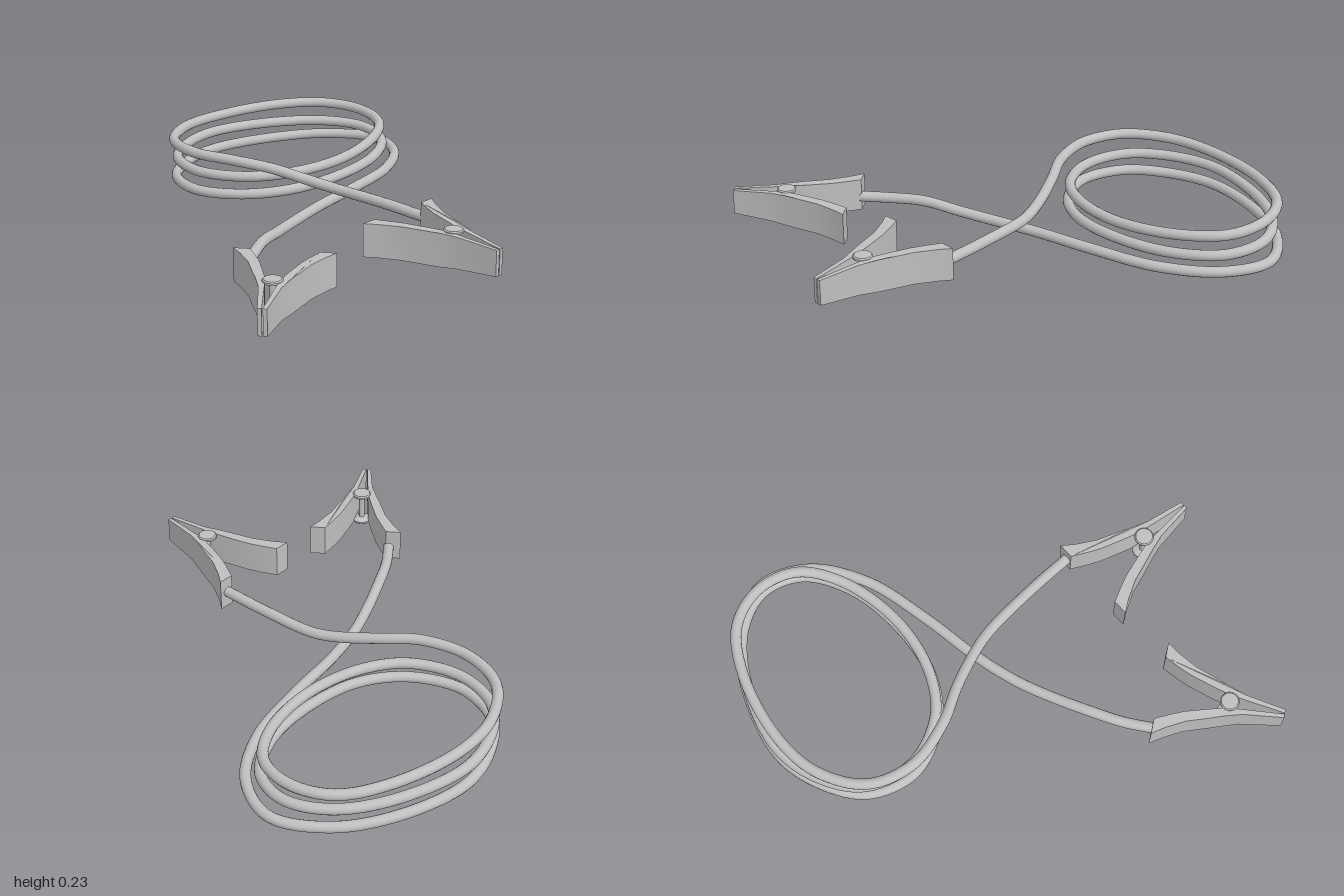
import * as THREE from 'three';
import { toCreasedNormals } from 'three/addons/utils/BufferGeometryUtils.js';

const grey = new THREE.MeshStandardMaterial({ color: 0xbfbfbf });
grey.name = 'light grey';

function part(name, geometry) {
  const mesh = new THREE.Mesh(geometry, grey);
  mesh.name = name;
  return mesh;
}

// One lever of a clip: plan outline extruded upright, getting lower toward the jaw.
// The clip's tip is at z = 0 and the handles end at z = -0.52.
function leverGeometry(side) {
  const outer = [[0.2, -0.52], [0.165, -0.47], [0.12, -0.39], [0.085, -0.29], [0.066, -0.24], [0.043, -0.17], [0.018, 0]];
  const inner = [[0.002, 0], [0.004, -0.02], [0.022, -0.18], [0.03, -0.24], [0.05, -0.31], [0.08, -0.405], [0.105, -0.46], [0.135, -0.52]];
  const shape = new THREE.Shape(
    [...outer, ...inner].map(([u, z]) => new THREE.Vector2(u * side, -z)));
  const geo = new THREE.ExtrudeGeometry(shape, { depth: 2, bevelEnabled: false });
  geo.translate(0, 0, -1);
  geo.rotateX(-Math.PI / 2);
  const p = geo.attributes.position;
  for (let i = 0; i < p.count; i++) {
    const t = THREE.MathUtils.clamp((p.getZ(i) + 0.24) / 0.24, 0, 1);
    p.setY(i, p.getY(i) * (0.07 - 0.016 * t));
  }
  return toCreasedNormals(geo, 0.6);
}

// Spool-shaped hinge between the levers
function hingeGeometry() {
  const profile = [[0, -0.077], [0.035, -0.075], [0.04, -0.07], [0.04, -0.062], [0.012, -0.05],
    [0.012, 0.05], [0.04, 0.062], [0.04, 0.07], [0.035, 0.075], [0, 0.077]];
  const geo = new THREE.LatheGeometry(profile.map(([r, y]) => new THREE.Vector2(r, y)), 24);
  return toCreasedNormals(geo, 0.6);
}

function makeClip(name, x, y, z, turn) {
  const clip = new THREE.Group();
  clip.name = name;
  clip.add(part('leftLever', leverGeometry(1)), part('rightLever', leverGeometry(-1)));
  const hinge = part('hinge', hingeGeometry());
  hinge.position.z = -0.23;
  clip.add(hinge);
  clip.position.set(x, y, z);
  clip.rotation.y = turn;
  return clip;
}

// Cable coiled two and a half turns, falling from the front clip to the side clip
function cableGeometry() {
  const path = [
    [0.146, 0.13, 0.49], [0.136, 0.135, 0.24], [0.11, 0.14, 0], [0.065, 0.16, -0.13], [0, 0.19, -0.265], [-0.085, 0.212, -0.41],
    // upper turn
    [-0.137, 0.213, -0.61], [-0.08, 0.21, -0.8], [0.09, 0.205, -0.92], [0.3, 0.2, -0.95],
    [0.6, 0.2, -0.89], [0.8, 0.195, -0.77], [0.87, 0.188, -0.6], [0.83, 0.175, -0.43],
    [0.67, 0.16, -0.31], [0.4, 0.14, -0.25], [0.15, 0.13, -0.29], [-0.02, 0.125, -0.4],
    // middle turn
    [-0.108, 0.12, -0.6], [-0.06, 0.12, -0.8], [0.09, 0.12, -0.92], [0.3, 0.12, -0.97],
    [0.6, 0.115, -0.89], [0.8, 0.11, -0.75], [0.88, 0.104, -0.58], [0.83, 0.092, -0.41],
    [0.65, 0.08, -0.29], [0.4, 0.068, -0.247], [0.15, 0.058, -0.28], [-0.03, 0.048, -0.4],
    // lower half turn
    [-0.125, 0.04, -0.6], [-0.07, 0.037, -0.8], [0.09, 0.036, -0.92], [0.3, 0.036, -0.973],
    [0.6, 0.037, -0.9], [0.82, 0.04, -0.76], [0.935, 0.042, -0.56], [0.86, 0.045, -0.36],
    // run to the side clip
    [0.65, 0.045, -0.21], [0.35, 0.045, -0.13], [0.1, 0.042, -0.085], [-0.1, 0.043, -0.03],
    [-0.25, 0.055, 0.03], [-0.4, 0.075, 0.1], [-0.53, 0.07, 0.175], [-0.635, 0.068, 0.255],
  ];
  const curve = new THREE.CatmullRomCurve3(path.map((p) => new THREE.Vector3(...p)));
  return new THREE.TubeGeometry(curve, 360, 0.0225, 14);
}

export function createModel() {
  const model = new THREE.Group();
  model.name = 'testLead';
  model.add(part('cable', cableGeometry()));
  model.add(makeClip('frontClip', -0.015, 0.13, 0.99, 0));
  model.add(makeClip('sideClip', -0.955, 0.082, 0.68, -0.927));
  return model;
}
